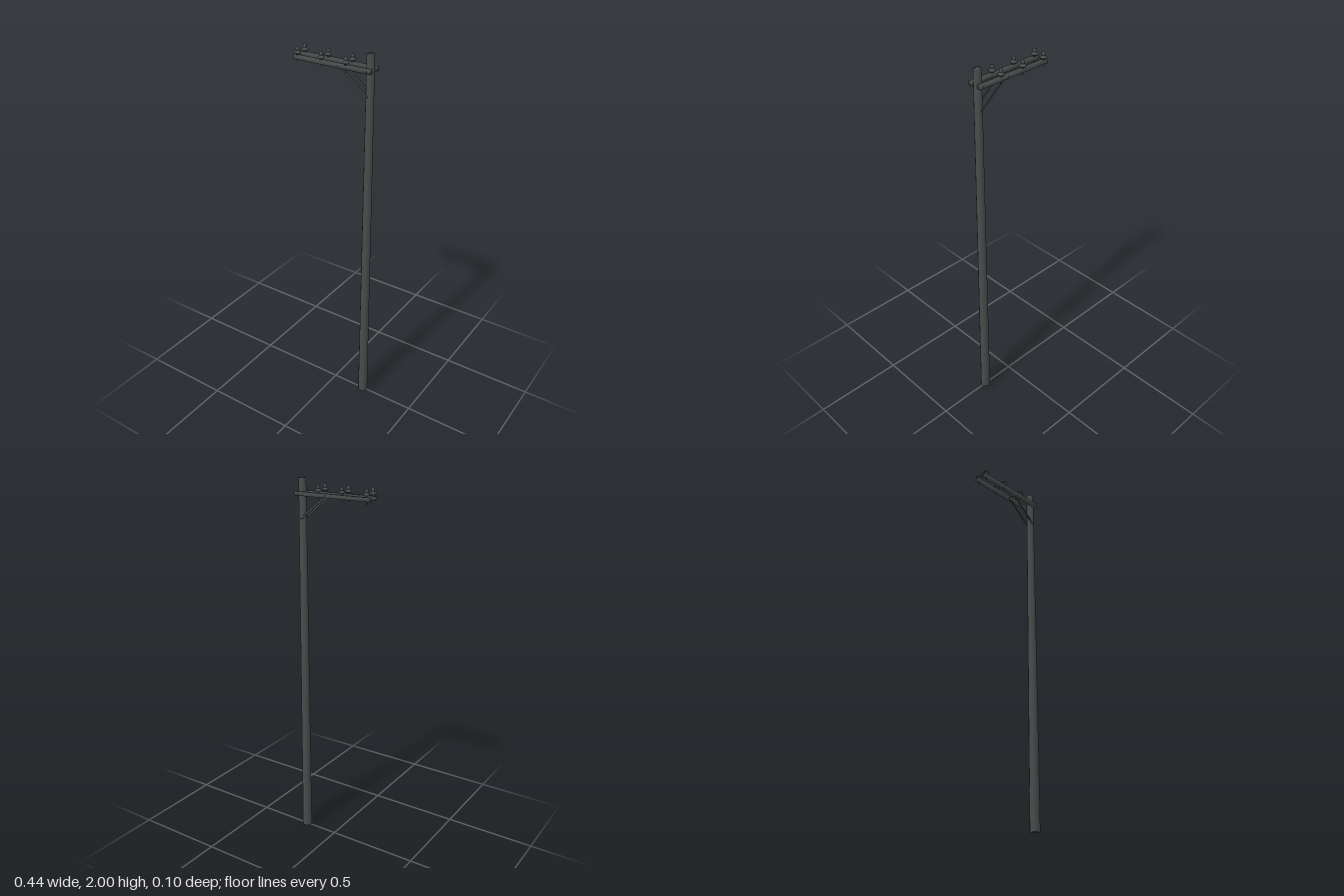
import * as THREE from 'three';
import { mergeVertices } from 'three/addons/utils/BufferGeometryUtils.js';

// Weld all corners so shading flows softly across edges and caps
function soften(geometry) {
  geometry.deleteAttribute('normal');
  geometry.deleteAttribute('uv');
  const g = mergeVertices(geometry, 1e-5);
  g.computeVertexNormals();
  return g;
}

export function createModel() {
  const group = new THREE.Group();
  const weathered = new THREE.MeshStandardMaterial({ color: 0x474d4c });
  weathered.name = 'weatheredGrey';

  const add = (name, geometry, x, y, z, parent = group) => {
    const mesh = new THREE.Mesh(geometry, weathered);
    mesh.name = name;
    mesh.position.set(x, y, z);
    parent.add(mesh);
    return mesh;
  };

  const poleX = 0.191;
  const armY = 1.925;

  // Tapered pole
  add('pole', soften(new THREE.CylinderGeometry(0.02, 0.027, 2, 10)), poleX, 1, 0);

  // Shared parts of the crossarms
  const armGeo = soften(new THREE.BoxGeometry(0.431, 0.02, 0.019));
  const profile = [
    [0, 0], [0.007, 0], [0.008, 0.008], [0.0185, 0.011], [0.0165, 0.017],
    [0.008, 0.022], [0.007, 0.026], [0.0105, 0.029], [0.0095, 0.036], [0.005, 0.041], [0, 0.042],
  ].map(([r, y]) => new THREE.Vector2(r, y));
  const insulatorGeo = soften(new THREE.LatheGeometry(profile, 8));
  const pinGeo = new THREE.CylinderGeometry(0.002, 0.002, 0.036, 6);
  const boltGeo = new THREE.CylinderGeometry(0.003, 0.003, 0.03, 6).rotateX(Math.PI / 2);

  // Diagonal brace from the arm down to the pole
  const braceTop = new THREE.Vector2(0.035, 1.922);
  const braceFoot = new THREE.Vector2(poleX, 1.797);
  const run = braceFoot.clone().sub(braceTop);
  const braceGeo = new THREE.BoxGeometry(run.length(), 0.009, 0.004);

  for (const side of [1, -1]) {
    const arm = new THREE.Group();
    arm.name = side > 0 ? 'frontCrossarm' : 'backCrossarm';
    group.add(arm);

    add('beam', armGeo, -0.0045, armY, side * 0.0295, arm);
    for (const x of [-0.201, -0.063, 0.075]) {
      add('insulator', insulatorGeo, x, armY + 0.008, side * 0.0295, arm);
      add('insulatorPin', pinGeo, x, armY - 0.008, side * 0.0295, arm);
    }

    const brace = add('brace', braceGeo, (braceTop.x + braceFoot.x) / 2,
      (braceTop.y + braceFoot.y) / 2, side * 0.02, arm);
    brace.rotation.z = run.angle();

    // Bolts fixing the beam and brace
    add('poleBolt', boltGeo, poleX, armY, side * 0.027, arm);
    add('braceBolt', boltGeo, 0.035, armY, side * 0.026, arm);
    add('footBolt', boltGeo, poleX - 0.003, 1.8, side * 0.01, arm);
  }

  return group;
}
